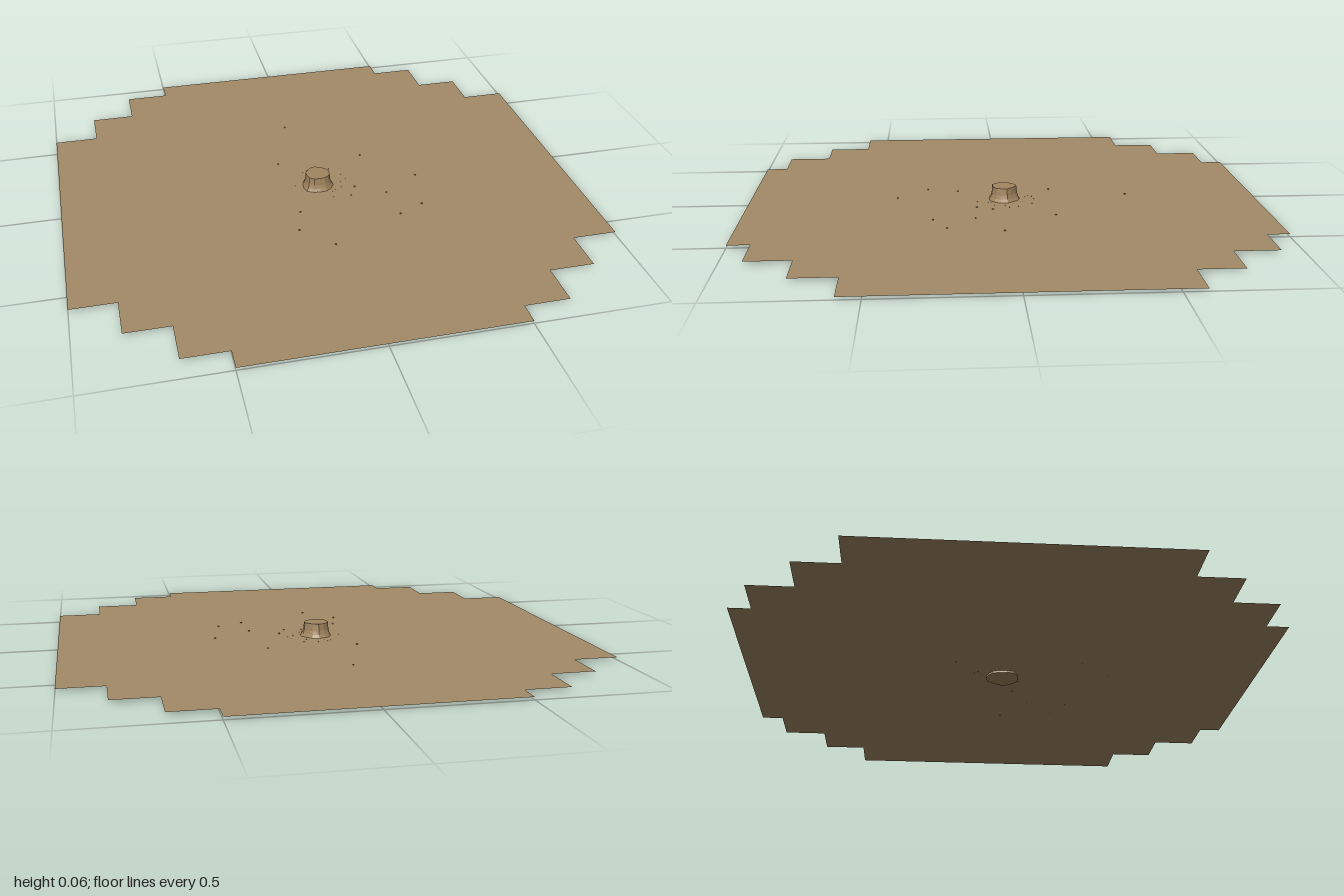
import * as THREE from 'three';

const sand = new THREE.MeshStandardMaterial({ color: 0xa48b67, side: THREE.DoubleSide });
sand.name = 'sand';
const rock = new THREE.MeshStandardMaterial({ color: 0xa1855f, flatShading: true });
rock.name = 'rock';
const pebble = new THREE.MeshStandardMaterial({ color: 0x80694a, flatShading: true });
pebble.name = 'pebble';

const GROUND_Y = 0.01;

// Small seeded generator for the scatter
function seeded(seed) {
  return () => (seed = (seed * 16807) % 2147483647) / 2147483647;
}

// Flat ground with stepped corners, mirrored from one quadrant
function makeGround() {
  const q = [[1, 0.583], [0.833, 0.583], [0.833, 0.75], [0.667, 0.75], [0.667, 0.917], [0.5, 0.917], [0.5, 1]];
  const r = [...q].reverse();
  const outline = [
    ...q,
    ...r.map(([x, y]) => [-x, y]),
    ...q.map(([x, y]) => [-x, -y]),
    ...r.map(([x, y]) => [x, -y]),
  ].map(([x, y]) => new THREE.Vector2(x, y));
  const geo = new THREE.ShapeGeometry(new THREE.Shape(outline)).rotateX(-Math.PI / 2);
  const mesh = new THREE.Mesh(geo, sand);
  mesh.position.y = GROUND_Y;
  mesh.name = 'ground';
  return mesh;
}

// Flat-topped butte: flared skirt, steep wall, slightly irregular outline
function makeButte() {
  const profile = [[0, 0], [0.064, 0], [0.062, 0.008], [0.054, 0.022], [0.05, 0.036], [0.047, 0.064], [0, 0.064]]
    .map(([x, y]) => new THREE.Vector2(x, y));
  const geo = new THREE.LatheGeometry(profile, 14);
  const p = geo.attributes.position;
  for (let i = 0; i < p.count; i++) {
    const a = Math.atan2(p.getZ(i), p.getX(i));
    const k = 1 + 0.04 * Math.sin(3 * a + 0.6) + 0.03 * Math.cos(5 * a + p.getY(i) * 30);
    p.setX(i, p.getX(i) * k);
    p.setZ(i, p.getZ(i) * k);
  }
  geo.computeVertexNormals();
  const mesh = new THREE.Mesh(geo, rock);
  mesh.name = 'butte';
  return mesh;
}

// Loose stones: single ones on the plain and a cluster at the foot of the butte
function makePebbles() {
  const rand = seeded(41);
  const group = new THREE.Group();
  group.name = 'pebbles';
  const geo = new THREE.DodecahedronGeometry(1);
  const spots = [
    [-0.12, -0.19], [0.225, -0.185], [-0.03, -0.49], [0.14, 0.05], [0.11, 0.11], [0.25, 0.12],
    [-0.11, 0.18], [-0.14, 0.3], [0.26, 0.28], [0.36, 0.23], [-0.03, 0.42], [0.4, 0.02],
  ];
  for (let i = 0; i < 14; i++) {
    const a = rand() * Math.PI * 2;
    const r = 0.07 + rand() * 0.06;
    spots.push([Math.cos(a) * r, Math.sin(a) * r]);
  }
  spots.forEach(([x, z], i) => {
    const s = i < 12 ? 0.004 : 0.002;
    const mesh = new THREE.Mesh(geo, pebble);
    mesh.scale.set(s, s * 0.7, s);
    mesh.rotation.y = rand() * 6;
    mesh.position.set(x, GROUND_Y + s * 0.4, z);
    mesh.name = 'pebble';
    group.add(mesh);
  });
  return group;
}

export function createModel() {
  const model = new THREE.Group();
  model.name = 'desertButte';
  model.add(makeGround(), makeButte(), makePebbles());
  return model;
}
